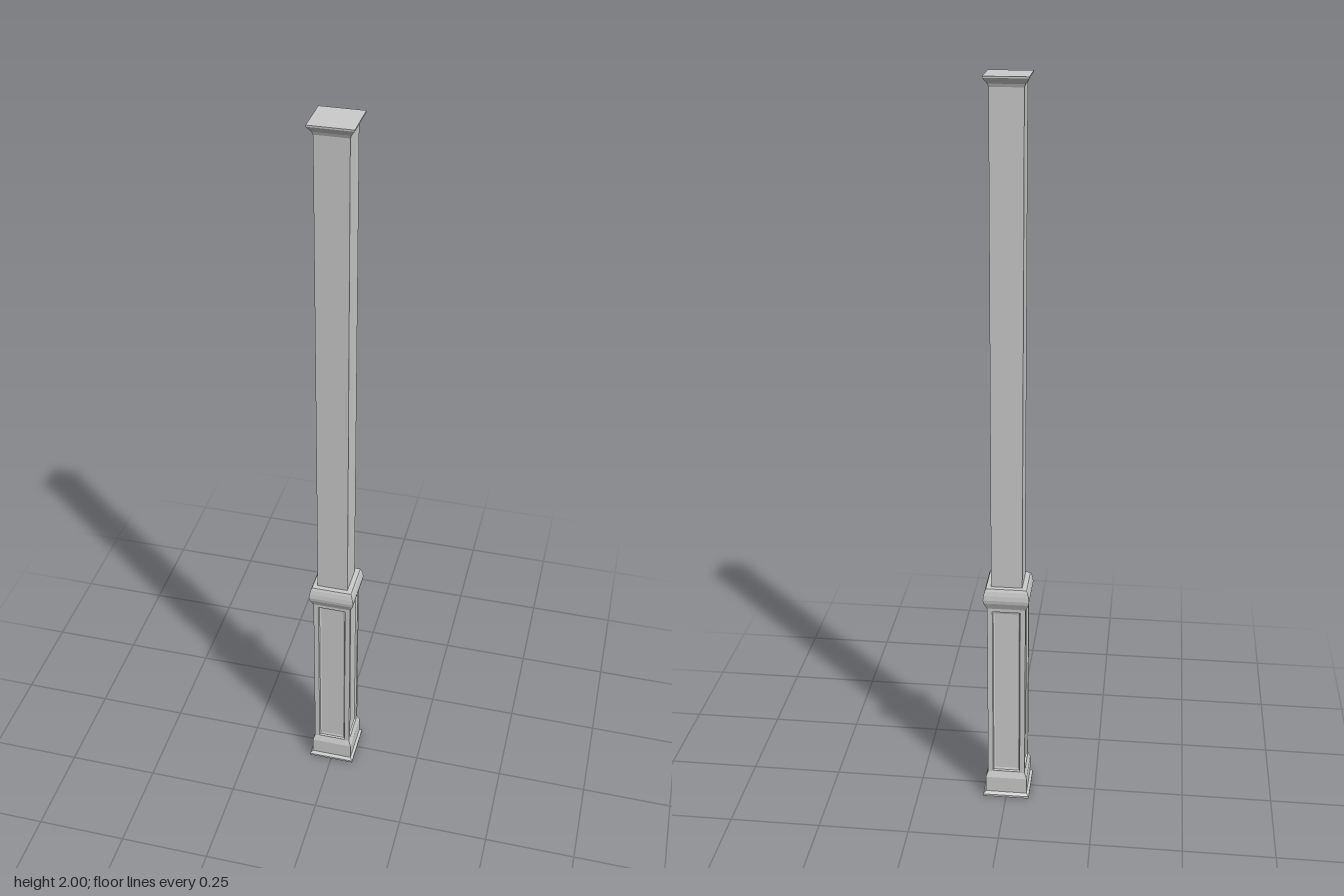
import * as THREE from 'three';

const material = new THREE.MeshStandardMaterial({ color: 0xcccccc, flatShading: true });

// Square moulding: profile of [half width, height], bottom to top
function squareTurned(name, profile) {
  const points = profile.map(([w, y]) => new THREE.Vector2(w * Math.SQRT2, y));
  const geometry = new THREE.LatheGeometry(points, 4).rotateY(Math.PI / 4).toNonIndexed();
  geometry.computeVertexNormals();
  const mesh = new THREE.Mesh(geometry, material);
  mesh.name = name;
  return mesh;
}

// Nested rectangles [half width, bottom, top, z] joined into one recessed face
function panelFace(rings) {
  const corners = rings.map(([w, b, t, z]) => [[-w, b, z], [w, b, z], [w, t, z], [-w, t, z]]);
  const positions = [];
  const quad = (a, b, c, d) => positions.push(...a, ...b, ...c, ...a, ...c, ...d);
  for (let r = 0; r < corners.length - 1; r++) {
    const outer = corners[r], inner = corners[r + 1];
    for (let i = 0; i < 4; i++) {
      const j = (i + 1) % 4;
      quad(outer[i], outer[j], inner[j], inner[i]);
    }
  }
  quad(...corners[corners.length - 1]);
  const geometry = new THREE.BufferGeometry();
  geometry.setAttribute('position', new THREE.Float32BufferAttribute(positions, 3));
  geometry.computeVertexNormals();
  return geometry;
}

export function createModel() {
  const post = new THREE.Group();
  post.name = 'porchPost';

  // Plinth with a thin spreading foot and a sloped top
  post.add(squareTurned('basePlinth', [
    [0, 0], [0.065, 0], [0.065, 0.006], [0.058, 0.013], [0.058, 0.06], [0.052, 0.077], [0, 0.077],
  ]));

  // Pedestal with a recessed panel on each side
  const pedestal = new THREE.Group();
  pedestal.name = 'pedestal';
  const face = panelFace([
    [0.052, 0.07, 0.61, 0.052],
    [0.038, 0.08, 0.593, 0.052],
    [0.036, 0.082, 0.591, 0.047],
    [0.032, 0.088, 0.585, 0.045],
  ]);
  for (let i = 0; i < 4; i++) {
    const side = new THREE.Mesh(face, material);
    side.name = 'pedestalPanel' + (i + 1);
    side.rotation.y = i * Math.PI / 2;
    pedestal.add(side);
  }
  post.add(pedestal);

  // Rounded collar
  post.add(squareTurned('collar', [
    [0, 0.603], [0.053, 0.603], [0.055, 0.608], [0.061, 0.622], [0.0625, 0.632],
    [0.061, 0.645], [0.058, 0.657], [0.055, 0.664], [0, 0.666],
  ]));

  // Plain upper shaft
  post.add(squareTurned('shaft', [[0.042, 0.66], [0.042, 1.98]]));

  // Flared cap
  post.add(squareTurned('cap', [
    [0, 1.974], [0.042, 1.974], [0.045, 1.982], [0.055, 1.996], [0.055, 2], [0, 2],
  ]));

  return post;
}
